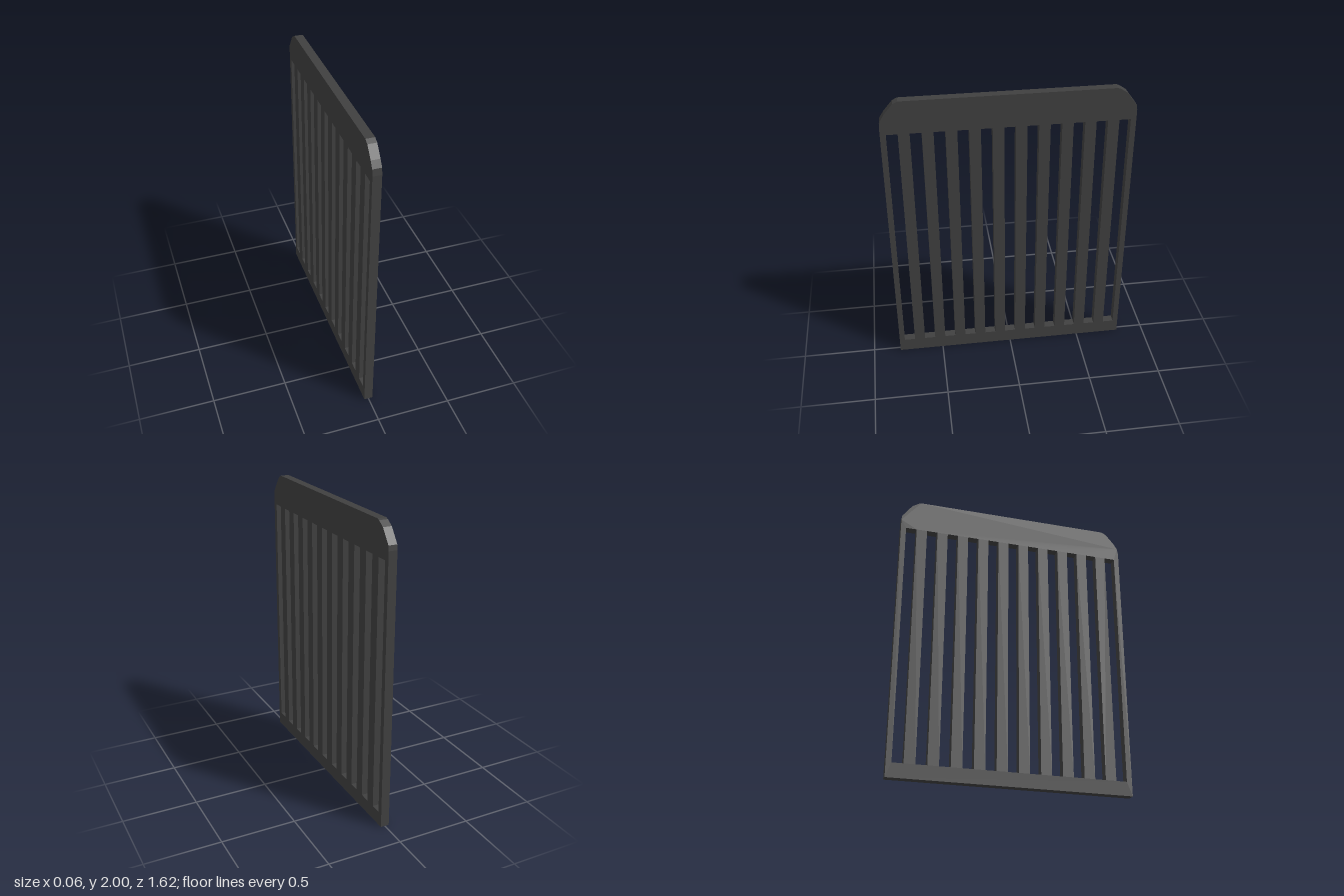
import * as THREE from 'three';

const THICKNESS = 0.058;
const SLOTS = 11, PITCH = 0.1474, SLOT_WIDTH = 0.074;
const SLOT_BOTTOM = 0.095, SLOT_TOP = 1.778;

// Outline in (z, y): square foot, faceted shoulders
const OUTLINE = [
  [-0.81, 0], [0.81, 0],
  [0.81, 1.83], [0.803, 1.873], [0.776, 1.915], [0.718, 1.984], [0.686, 2],
  [-0.676, 2], [-0.695, 1.993], [-0.74, 1.963], [-0.806, 1.873], [-0.81, 1.84],
];

const polygon = (points) => points.map(([z, y]) => new THREE.Vector2(z, y));

export function createModel() {
  const group = new THREE.Group();
  group.name = 'slattedPanel';

  const shape = new THREE.Shape(polygon(OUTLINE));

  // Evenly spaced upright slots leave the bars between them
  for (let i = 0; i < SLOTS; i++) {
    const mid = (i - (SLOTS - 1) / 2) * PITCH;
    const a = mid - SLOT_WIDTH / 2, b = mid + SLOT_WIDTH / 2;
    shape.holes.push(new THREE.Path(polygon([
      [a, SLOT_BOTTOM], [a, SLOT_TOP], [b, SLOT_TOP], [b, SLOT_BOTTOM],
    ])));
  }

  // Panel extruded through its thickness, then turned to lie in the y-z plane
  const geometry = new THREE.ExtrudeGeometry(shape, { depth: THICKNESS, bevelEnabled: false });
  geometry.translate(0, 0, -THICKNESS / 2);
  geometry.rotateY(-Math.PI / 2);

  const panel = new THREE.Mesh(geometry, new THREE.MeshStandardMaterial({ color: 0x404040 }));
  panel.name = 'barredPanel';
  group.add(panel);
  return group;
}
